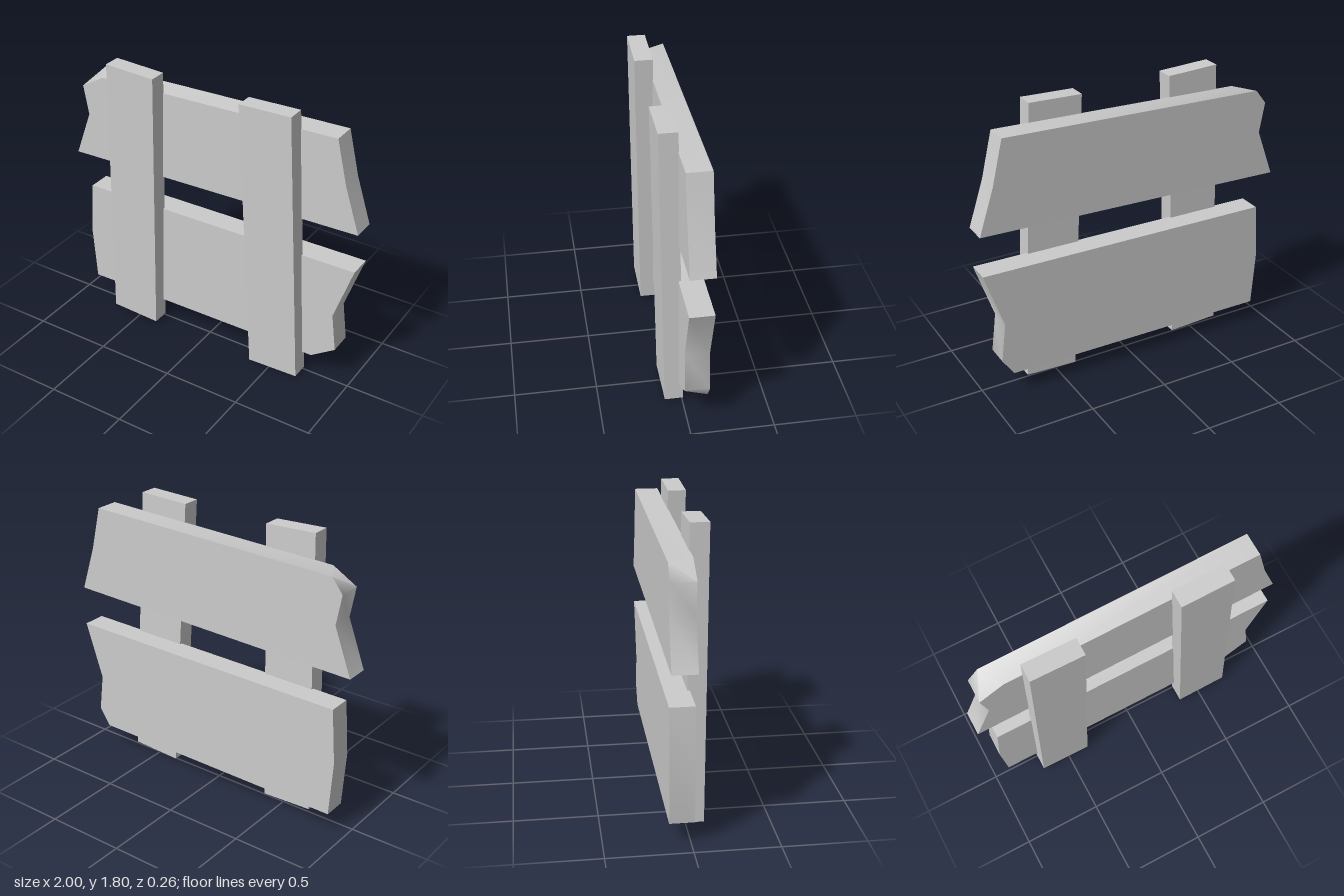
import * as THREE from 'three';
import { toCreasedNormals } from 'three/addons/utils/BufferGeometryUtils.js';

const material = new THREE.MeshStandardMaterial({ color: 0xcccccc });

// Solid between a front and a back outline (counter-clockwise, same point count).
// zFront and zBack give the depth of each face at height y.
function board(name, front, back, zFront, zBack) {
  const n = front.length;
  const positions = [];
  for (const [x, y] of front) positions.push(x, y, zFront(y));
  for (const [x, y] of back) positions.push(x, y, zBack(y));

  const index = [];
  const faces = (outline) =>
    THREE.ShapeUtils.triangulateShape(outline.map(([x, y]) => new THREE.Vector2(x, y)), []);
  for (const [a, b, c] of faces(front)) index.push(a, b, c);
  for (const [a, b, c] of faces(back)) index.push(n + a, n + c, n + b);
  for (let i = 0; i < n; i++) {
    const j = (i + 1) % n;
    index.push(i, n + i, j, j, n + i, n + j);
  }

  const geometry = new THREE.BufferGeometry();
  geometry.setAttribute('position', new THREE.Float32BufferAttribute(positions, 3));
  geometry.setIndex(index);
  const mesh = new THREE.Mesh(toCreasedNormals(geometry, 0.85), material);
  mesh.name = name;
  return mesh;
}

// Copy of an outline with the x of one corner changed, for a slanted chip
function chip(outline, corner, x) {
  return outline.map(([px, py], i) => [i === corner ? x : px, py]);
}

export function createModel() {
  const group = new THREE.Group();
  group.name = 'plankPanel';

  // Broad horizontal planks with broken ends and one chipped corner each
  const plankFront = () => 0.02;
  const plankBack = () => -0.127;
  const upper = [
    [-1, 1.063], [1, 1.11], [0.905, 1.4], [0.838, 1.68],
    [-0.77, 1.64], [-0.925, 1.55], [-0.89, 1.36],
  ];
  const lower = [
    [-0.9, 0.135], [0.75, 0.147], [0.908, 0.255], [0.877, 0.5],
    [0.997, 0.857], [-0.9, 0.84], [-0.925, 0.49],
  ];
  group.add(board('upperPlank', upper, chip(upper, 4, -0.855), plankFront, plankBack));
  group.add(board('lowerPlank', lower, chip(lower, 1, 0.835), plankFront, plankBack));

  // Upright battens, leaning slightly forward towards the top
  const battenFront = (y) => 0.105 + 0.0135 * y;
  const battenBack = (y) => -0.006 + 0.0135 * y;
  const battens = {
    rightBatten: [[-0.69, 0.022], [-0.36, 0.008], [-0.317, 1.785], [-0.65, 1.8]],
    leftBatten: [[0.36, 0], [0.694, 0.013], [0.602, 1.791], [0.268, 1.782]],
  };
  for (const [name, outline] of Object.entries(battens)) {
    group.add(board(name, outline, outline, battenFront, battenBack));
  }

  return group;
}
